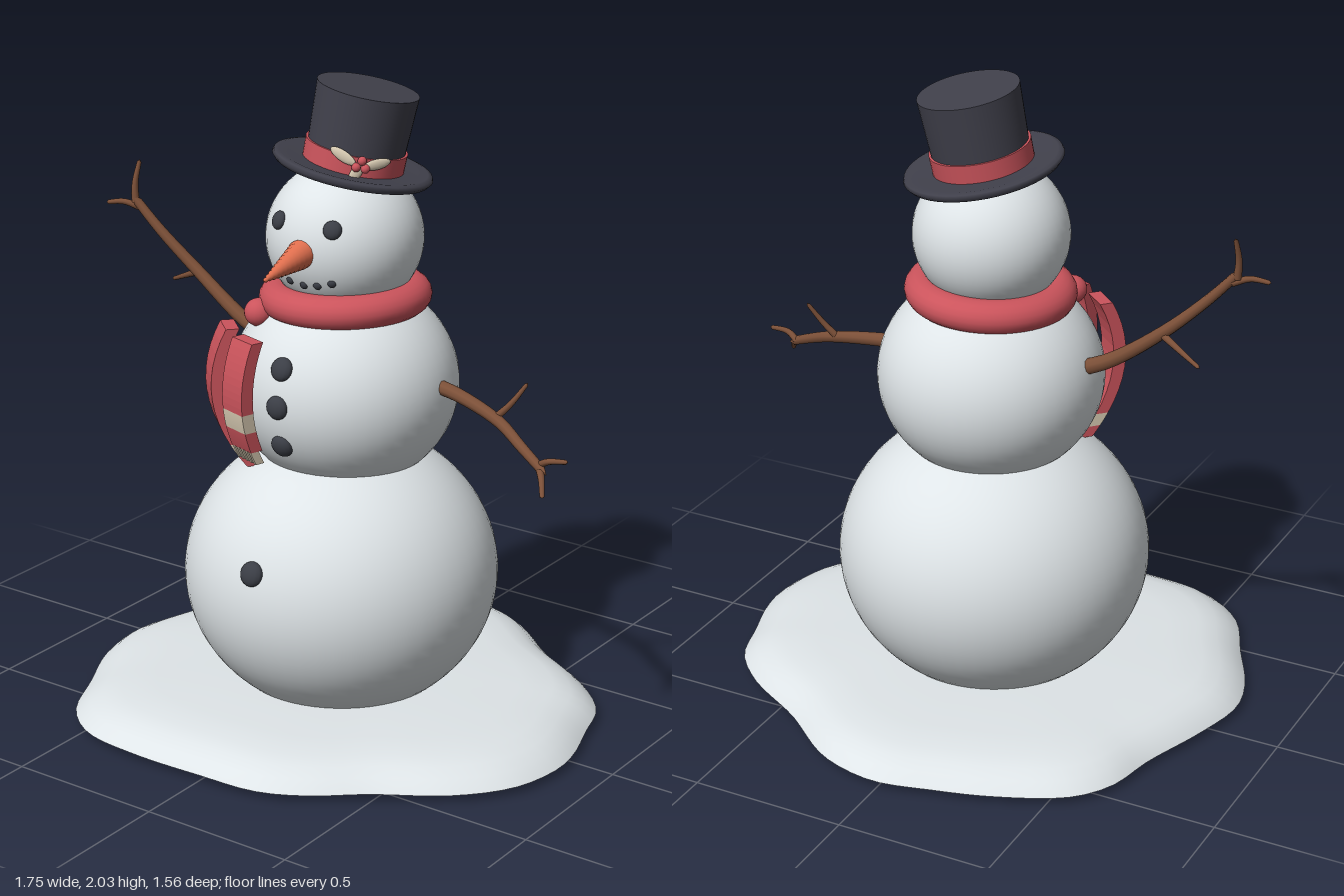
import * as THREE from 'three';
import { mergeVertices } from 'three/addons/utils/BufferGeometryUtils.js';

const V2 = (a) => a.map(([x, y]) => new THREE.Vector2(x, y));
const V3 = (a) => a.map((p) => new THREE.Vector3(...p));

function material(name, color) {
  const m = new THREE.MeshStandardMaterial({ color });
  m.name = name;
  return m;
}

export function createModel() {
  const snow = material('snow', 0xe0e6e9);
  const red = material('scarf red', 0xcb545c);
  const cream = material('cream', 0xd9ccb4);
  const coal = material('coal', 0x3b3e46);
  const felt = material('hat felt', 0x40404b);
  const wood = material('wood', 0x7c5038);
  const carrot = material('carrot', 0xe2704f);

  const model = new THREE.Group();
  model.name = 'snowman';

  function add(name, geometry, mat, parent = model, pos = [0, 0, 0]) {
    const mesh = new THREE.Mesh(geometry, mat);
    mesh.name = name;
    mesh.position.set(...pos);
    parent.add(mesh);
    return mesh;
  }
  function ball(name, pos, size, mat, parent = model, seg = 20) {
    const mesh = add(name, new THREE.SphereGeometry(1, seg, Math.ceil(seg * 0.7)), mat, parent, pos);
    mesh.scale.set(...size);
    return mesh;
  }

  // Snow mound: a low lathe pushed out to an irregular outline
  const outline = new THREE.CatmullRomCurve3(V3([
    [0, 0, 0.77], [0.21, 0, 0.755], [0.35, 0, 0.69], [0.495, 0, 0.575], [0.7, 0, 0.44], [0.825, 0, 0.29],
    [0.87, 0, 0.12], [0.86, 0, 0], [0.81, 0, -0.16], [0.76, 0, -0.31], [0.635, 0, -0.44], [0.42, 0, -0.57],
    [0.235, 0, -0.715], [0.13, 0, -0.76], [0, 0, -0.78], [-0.165, 0, -0.745], [-0.355, 0, -0.69],
    [-0.565, 0, -0.585], [-0.65, 0, -0.47], [-0.69, 0, -0.3], [-0.77, 0, -0.065], [-0.81, 0, 0.12],
    [-0.78, 0, 0.265], [-0.685, 0, 0.455], [-0.59, 0, 0.64], [-0.45, 0, 0.745], [-0.235, 0, 0.775],
  ]), true);
  const around = 96;
  const rim = outline.getSpacedPoints(around);
  const profile = [[1, 0], [0.985, 0.012], [0.95, 0.035], [0.9, 0.055], [0.83, 0.07], [0.7, 0.08], [0.4, 0.086], [0, 0.086]];
  let mound = new THREE.LatheGeometry(V2(profile), around);
  const mp = mound.attributes.position;
  for (let i = 0; i < mp.count; i++) {
    const p = rim[Math.floor(i / profile.length) % around];
    const s = profile[i % profile.length][0];
    mp.setX(i, p.x * s);
    mp.setZ(i, p.z * s);
  }
  mound.deleteAttribute('uv');
  mound.deleteAttribute('normal');
  mound = mergeVertices(mound);
  mound.computeVertexNormals();
  add('snowMound', mound, snow);
  const under = new THREE.Shape(rim.slice(0, around).map((p) => new THREE.Vector2(p.x, p.z)));
  add('moundUnderside', new THREE.ShapeGeometry(under).rotateX(Math.PI / 2), snow);

  // Three body balls: centre and radii
  const lower = [[0.008, 0.43, 0.027], [0.497, 0.455, 0.494]];
  const middle = [[0.01, 1.05, 0.01], [0.356, 0.33, 0.354]];
  const top = [[0.008, 1.515, 0.008], [0.243, 0.235, 0.243]];
  ball('lowerBody', ...lower, snow, model, 56);
  ball('middleBody', ...middle, snow, model, 48);
  ball('head', ...top, snow, model, 44);

  // Coal pieces pressed onto the front of a ball at a given x and y
  function press(name, [c, r], x, y, size) {
    const dx = (x - c[0]) / r[0], dy = (y - c[1]) / r[1];
    const dz = Math.sqrt(1 - dx * dx - dy * dy);
    const pos = new THREE.Vector3(x, y, c[2] + r[2] * dz);
    const lump = ball(name, pos.toArray(), [size, size, size * 0.6], coal, model, 14);
    lump.lookAt(pos.clone().add(new THREE.Vector3(dx / r[0], dy / r[1], dz / r[2])));
  }
  for (const y of [1.175, 1.06, 0.93]) press('button', middle, 0.01, y, 0.037);
  press('button', lower, 0.01, 0.565, 0.039);
  for (const x of [-0.087, 0.108]) press('eye', top, x, 1.595, 0.029);
  [[-0.087, 1.427], [-0.043, 1.415], [0.01, 1.41], [0.058, 1.415], [0.104, 1.427]]
    .forEach(([x, y]) => press('mouthCoal', top, x, y, 0.013));

  // Carrot nose with fine rings
  const ridges = [];
  for (let i = 0; i <= 24; i++) {
    const t = i / 24;
    ridges.push([i === 24 ? 0 : 0.046 * (1 - t) + 0.004 + (i % 2 ? 0.0015 : -0.0015), t * 0.245]);
  }
  const nose = add('carrotNose', new THREE.LatheGeometry(V2(ridges), 20), carrot, model, [0.012, 1.515, 0.215]);
  nose.quaternion.setFromUnitVectors(new THREE.Vector3(0, 1, 0), new THREE.Vector3(0.022, -0.03, 0.24).normalize());

  // Scarf ring and knot
  const ring = add('scarfRing', new THREE.TorusGeometry(0.208, 0.059, 18, 56).rotateX(Math.PI / 2), red, model, [0.01, 1.328, 0.008]);
  ring.rotation.z = 0.04;
  ring.scale.y = 0.9;
  ball('scarfKnot', [-0.172, 1.288, 0.208], [0.046, 0.044, 0.046], red);

  // Scarf tails: curved slabs arching over the middle ball
  function tailPiece(name, angle, bend, y0, y1, mat, width = 0.1, shift = 0, thick = 0.042) {
    const outer = [], inner = [];
    for (let i = 0; i <= 10; i++) {
      const y = y0 + (y1 - y0) * i / 10;
      const r = 0.428 - bend * (y - 1.07) ** 2;
      outer.push([r, y]);
      inner.unshift([r - thick, y]);
    }
    const geo = new THREE.ExtrudeGeometry(new THREE.Shape(V2([...outer, ...inner])), { depth: width, bevelEnabled: false });
    geo.translate(0, 0, shift - width / 2);
    add(name, geo, mat).rotation.y = angle - Math.PI / 2;
  }
  const outerTail = -0.74, innerTail = -0.3;
  tailPiece('outerTail', outerTail, 1.5, 0.875, 1.25, red);
  tailPiece('outerTailStripe', outerTail, 1.5, 0.835, 0.875, cream);
  tailPiece('outerTailEnd', outerTail, 1.5, 0.8, 0.835, red);
  tailPiece('innerTail', innerTail, 1.25, 1.03, 1.25, red);
  tailPiece('innerTailStripe', innerTail, 1.25, 0.97, 1.03, cream);
  tailPiece('innerTailEnd', innerTail, 1.25, 0.905, 0.97, red);
  for (let i = -2; i <= 2; i++) {
    tailPiece('fringe', innerTail, 1.25, 0.862, 0.905, cream, 0.011, i * 0.021, 0.03);
  }

  // Tapered stick arms with twigs
  function stick(name, points, r0, r1) {
    const curve = new THREE.CatmullRomCurve3(V3(points));
    const n = 18, sides = 9;
    const geo = new THREE.TubeGeometry(curve, n, 1, sides);
    const pos = geo.attributes.position, v = new THREE.Vector3();
    for (let i = 0; i < pos.count; i++) {
      const k = Math.floor(i / (sides + 1));
      const c = curve.getPointAt(k / n);
      v.fromBufferAttribute(pos, i).sub(c).multiplyScalar(k === n ? 0 : r0 + (r1 - r0) * k / n).add(c);
      pos.setXYZ(i, v.x, v.y, v.z);
    }
    add(name, geo, wood);
  }
  stick('rightArm', [[-0.28, 1.12, 0], [-0.4, 1.175, 0], [-0.57, 1.3, 0.005], [-0.7, 1.42, 0.03], [-0.8, 1.53, 0.05]], 0.026, 0.014);
  stick('rightTwig', [[-0.785, 1.5, 0.045], [-0.79, 1.56, 0.04], [-0.785, 1.635, 0.02]], 0.013, 0.007);
  stick('rightTwig', [[-0.77, 1.485, 0.04], [-0.82, 1.5, 0.06], [-0.88, 1.492, 0.076]], 0.012, 0.007);
  stick('rightTwig', [[-0.57, 1.295, 0], [-0.64, 1.265, -0.025], [-0.715, 1.233, -0.05]], 0.012, 0.006);
  stick('leftArm', [[0.3, 1.095, -0.01], [0.42, 1.08, 0], [0.59, 1.04, 0.035], [0.7, 0.995, 0.08], [0.81, 0.945, 0.12]], 0.024, 0.014);
  stick('leftTwig', [[0.77, 0.962, 0.1], [0.81, 0.985, 0.11], [0.87, 0.993, 0.1]], 0.012, 0.007);
  stick('leftTwig', [[0.78, 0.955, 0.11], [0.805, 0.935, 0.14], [0.833, 0.897, 0.18]], 0.012, 0.007);
  stick('leftTwig', [[0.57, 1.045, 0.025], [0.615, 1.095, 0.01], [0.658, 1.163, -0.015]], 0.012, 0.006);

  // Tilted top hat
  const hat = new THREE.Group();
  hat.name = 'topHat';
  hat.position.set(0.024, 1.728, -0.008);
  hat.rotation.set(-0.11, 0, -0.16);
  model.add(hat);
  const brim = [[0, -0.012], [0.14, -0.014], [0.21, -0.013], [0.238, -0.007], [0.248, 0.005], [0.244, 0.016], [0.23, 0.02], [0.2, 0.015], [0.12, 0.012]];
  add('hatBrim', new THREE.LatheGeometry(V2(brim), 48), felt, hat);
  add('hatCrown', new THREE.CylinderGeometry(0.157, 0.147, 0.245, 48), felt, hat, [0, 0.128, 0]);
  add('hatBand', new THREE.CylinderGeometry(0.157, 0.156, 0.058, 48), red, hat, [0, 0.043, 0]);

  // Sprig on the band: pale leaves and red berries
  const sprig = new THREE.Group();
  sprig.name = 'hatSprig';
  sprig.rotation.y = 0.72;
  hat.add(sprig);
  for (const [a, y, tilt] of [[-0.36, 0.068, -0.35], [0.3, 0.06, 0.3], [-0.05, 0.03, 1.2]]) {
    const leaf = ball('leaf', [Math.sin(a) * 0.16, y, Math.cos(a) * 0.16], [0.045, 0.017, 0.008], cream, sprig, 12);
    leaf.rotation.set(0, a, tilt);
  }
  for (const [x, y] of [[-0.014, 0.045], [0.014, 0.045], [0, 0.067]]) {
    ball('berry', [x, y, 0.168], [0.014, 0.014, 0.014], red, sprig, 12);
  }
  return model;
}
